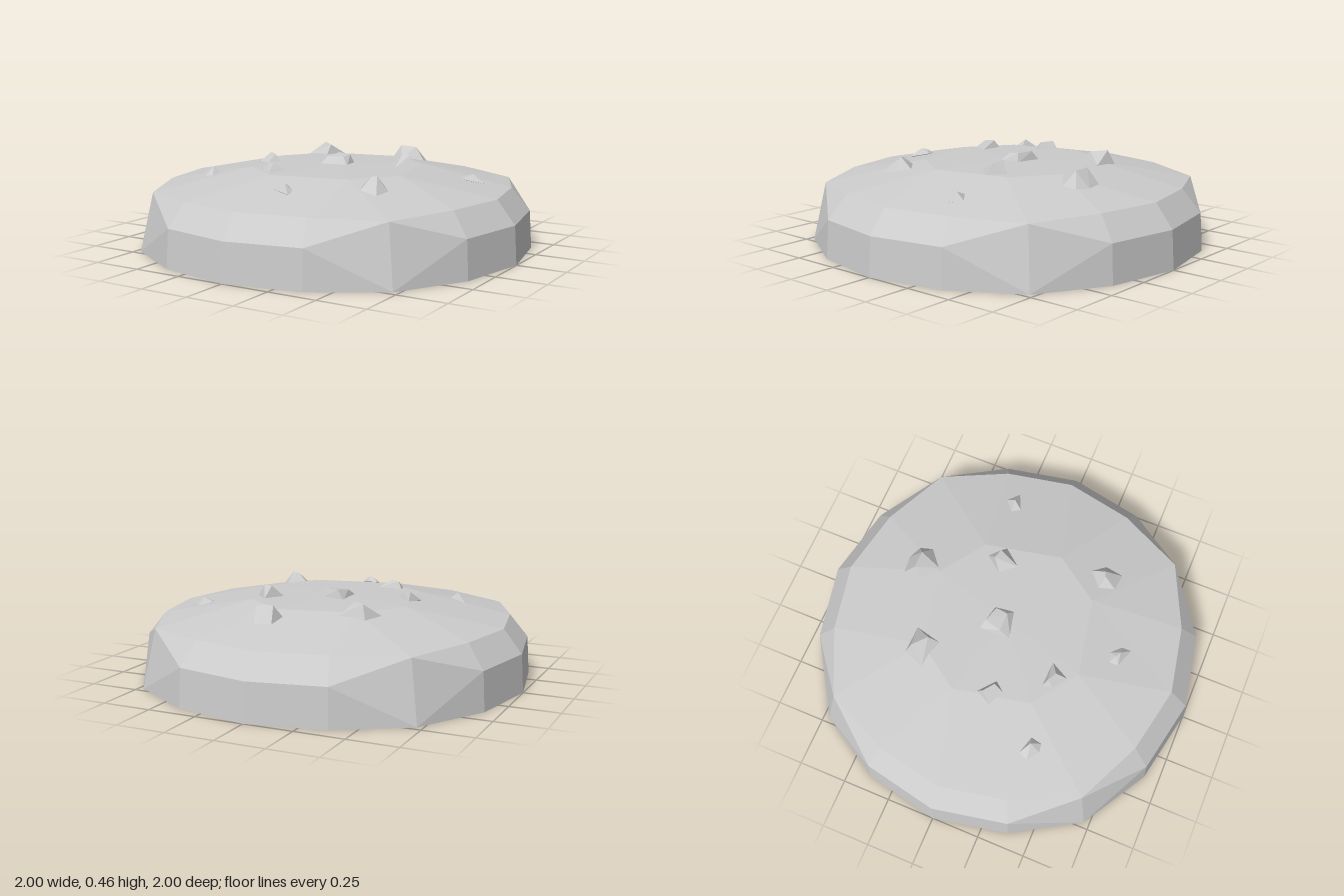
import * as THREE from 'three';
import { ConvexGeometry } from 'three/addons/geometries/ConvexGeometry.js';

const material = new THREE.MeshStandardMaterial({ color: 0xcccccc, flatShading: true, side: THREE.DoubleSide });

const polar = (k, r, y) => {
  const a = (k * Math.PI) / 8;
  return new THREE.Vector3(Math.cos(a) * r, y, Math.sin(a) * r);
};

// Low-poly disc: three rings of 16 points, with pinched diagonal corners, and a shallow dome
function makeDisc() {
  const bottom = [], middle = [], rim = [], dome = [];
  const isCorner = k => k % 4 === 2;
  for (let k = 0; k < 16; k++) {
    const c = isCorner(k);
    bottom.push(polar(k, c ? 1.02 : 1, 0));
    rim.push(polar(k, c ? 0.95 : 0.893, c ? 0.3 : 0.31));
    middle.push(c ? bottom[k].clone().lerp(rim[k], 0.63) : polar(k, 0.987, 0.193));
  }
  // Inner dome points, slightly twisted against the rim
  for (let q = 0; q < 4; q++) {
    dome.push(polar(q * 4 + 0.7, 0.45, 0.402), polar(q * 4 + 2.32, 0.445, 0.402));
  }
  const centre = new THREE.Vector3(0, 0.41, 0);
  const base = new THREE.Vector3(0, 0, 0);

  const points = [];
  const tri = (...p) => points.push(...p);
  const quad = (a, b, c, d) => { tri(a, b, c); tri(a, c, d); };

  for (let k = 0; k < 16; k++) {
    const j = (k + 1) % 16;
    tri(base, bottom[k], bottom[j]);
    // Diagonals run into the corner points
    if (isCorner(j)) {
      quad(bottom[j], bottom[k], middle[k], middle[j]);
      quad(middle[k], rim[k], rim[j], middle[j]);
    } else {
      quad(bottom[k], middle[k], middle[j], bottom[j]);
      quad(rim[k], rim[j], middle[j], middle[k]);
    }
  }
  for (let q = 0; q < 4; q++) {
    const r = i => rim[(q * 4 + i) % 16];
    const d = i => dome[(q * 2 + i) % 8];
    quad(r(1), r(0), d(0), d(1));
    quad(d(1), r(3), r(2), r(1));
    quad(r(4), r(3), d(1), d(2));
    quad(centre, d(2), d(1), d(0));
  }
  const geometry = new THREE.BufferGeometry().setFromPoints(points);
  geometry.computeVertexNormals();
  return geometry;
}

// Chunks: top height, outline where it meets the dome, and crown points (x, z)
const chunks = [
  { y: 0.445, foot: [[0.06, -0.61], [0.15, -0.62], [0.22, -0.59], [0.235, -0.52], [0.14, -0.44], [0.05, -0.51]], crown: [[0.08, -0.55], [0.17, -0.55]] },
  { y: 0.455, foot: [[-0.34, -0.42], [-0.2, -0.41], [-0.235, -0.27], [-0.38, -0.31]], crown: [[-0.315, -0.39], [-0.245, -0.33]] },
  { y: 0.463, foot: [[0.3, -0.235], [0.375, -0.16], [0.3, -0.065], [0.23, -0.145]], crown: [[0.28, -0.19], [0.33, -0.175]] },
  { y: 0.38, foot: [[0.6, -0.23], [0.66, -0.28], [0.72, -0.23], [0.63, -0.19]], crown: [[0.66, -0.235]] },
  { y: 0.453, foot: [[-0.09, -0.12], [0.05, -0.09], [0.065, 0.015], [-0.085, 0.05]], crown: [[-0.05, -0.1], [0.03, -0.075], [0.025, -0.015], [-0.07, -0.015]] },
  { y: 0.445, foot: [[-0.395, 0], [-0.31, 0.07], [-0.355, 0.125], [-0.435, 0.08]], crown: [[-0.395, 0.03], [-0.34, 0.07]] },
  { y: 0.4, foot: [[-0.595, 0.305], [-0.5, 0.335], [-0.51, 0.395], [-0.555, 0.4], [-0.615, 0.355]], crown: [[-0.54, 0.345]] },
  { y: 0.445, foot: [[-0.245, 0.285], [-0.11, 0.29], [-0.165, 0.39], [-0.235, 0.34]], crown: [[-0.175, 0.33], [-0.22, 0.305]] },
  { y: 0.435, foot: [[0.435, 0.29], [0.49, 0.35], [0.48, 0.445], [0.385, 0.44], [0.355, 0.355]], crown: [[0.435, 0.36], [0.41, 0.37]] },
  { y: 0.402, foot: [[0.005, 0.55], [0.055, 0.535], [0.105, 0.58], [0.11, 0.63], [0.01, 0.595]], crown: [[0.065, 0.585], [0.04, 0.57]] },
];

const domeHeight = (x, z) => 0.403 - Math.max(0, Math.hypot(x, z) - 0.43) * 0.2;

function makeChunk({ y, foot, crown }) {
  const cx = foot.reduce((s, p) => s + p[0], 0) / foot.length;
  const cz = foot.reduce((s, p) => s + p[1], 0) / foot.length;
  const points = foot.map(([x, z]) => new THREE.Vector3(x, domeHeight(x, z) - 0.003, z));
  crown.forEach(([x, z], i) => points.push(new THREE.Vector3(x, y - i * 0.004, z)));
  // Buried tip
  points.push(new THREE.Vector3(cx, domeHeight(cx, cz) - 0.05, cz));
  return new ConvexGeometry(points);
}

export function createModel() {
  const model = new THREE.Group();
  model.name = 'studdedDisc';

  const disc = new THREE.Mesh(makeDisc(), material);
  disc.name = 'disc';
  model.add(disc);

  const topping = new THREE.Group();
  topping.name = 'chunks';
  chunks.forEach((c, i) => {
    const mesh = new THREE.Mesh(makeChunk(c), material);
    mesh.name = `chunk${i + 1}`;
    topping.add(mesh);
  });
  model.add(topping);
  return model;
}
